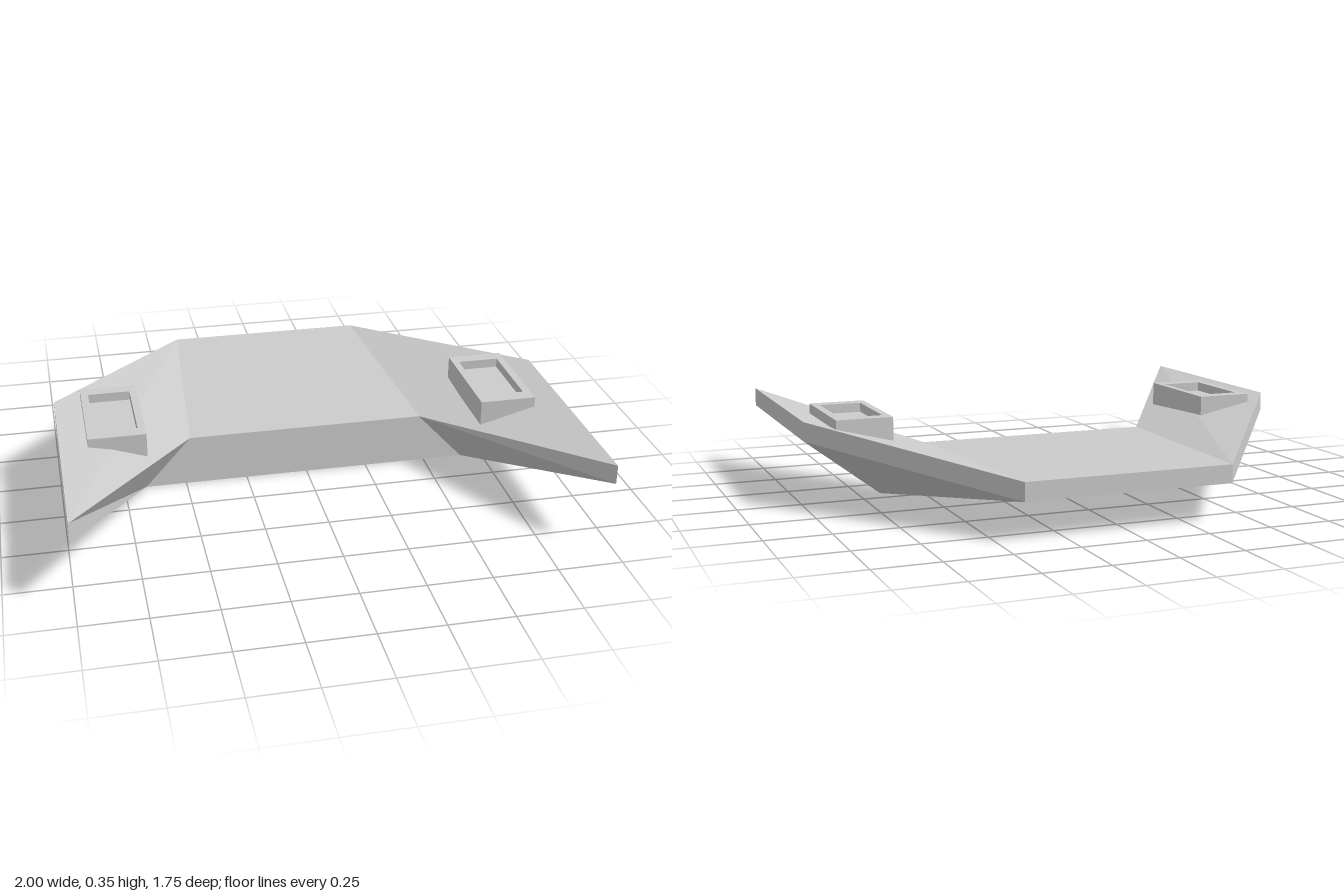
import * as THREE from 'three';

const material = new THREE.MeshStandardMaterial({ color: 0xcccccc, flatShading: true, side: THREE.DoubleSide });

// Corners of one half of the hull (mirrored in x for the other half)
const CORNERS = [
  [0.41, 0.217, -0.875], // 0 back top
  [0.477, 0.198, 0.07],  // 1 front notch top
  [1, 0.338, -0.08],     // 2 wing tip rear top
  [1, 0.338, 0.873],     // 3 wing tip front top
  [0.41, 0.146, -0.875], // 4 back bottom
  [0.662, 0, 0.08],      // 5 keel
  [1, 0.262, -0.08],     // 6 wing tip rear bottom
  [1, 0.262, 0.873],     // 7 wing tip front bottom
];
const corner = (side, i) => [CORNERS[i][0] * side, CORNERS[i][1], CORNERS[i][2]];

// Mesh from four-cornered faces, each split along its first and third corner
function facetedMesh(name, quads) {
  const positions = quads.flatMap(([a, b, c, d]) => [a, b, c, a, c, d].flat());
  const geometry = new THREE.BufferGeometry();
  geometry.setAttribute('position', new THREE.Float32BufferAttribute(positions, 3));
  geometry.computeVertexNormals();
  const mesh = new THREE.Mesh(geometry, material);
  mesh.name = name;
  return mesh;
}

// Swept wing: top, tip, rear edge, inner front face and underside
function wing(name, side) {
  const underside = side > 0 ? [6, 7, 5, 4] : [4, 6, 7, 5];
  const faces = [[1, 3, 2, 0], [2, 3, 7, 6], [0, 2, 6, 4], [1, 5, 7, 3], underside];
  return facetedMesh(name, faces.map((face) => {
    const quad = face.map((i) => corner(side, i));
    return side > 0 ? quad : quad.reverse();
  }));
}

// Middle section between the wings
function centerBody() {
  const l = (i) => corner(-1, i);
  const r = (i) => corner(1, i);
  return facetedMesh('centerBody', [
    [l(1), r(1), r(0), l(0)],
    [l(4), r(4), r(5), l(5)],
    [l(5), r(5), r(1), l(1)],
    [r(4), l(4), l(0), r(0)],
  ]);
}

function rectangle(Type, x0, x1, z0, z1) {
  return new Type([[x0, -z0], [x1, -z0], [x1, -z1], [x0, -z1]].map(([x, y]) => new THREE.Vector2(x, y)));
}

// Raised rectangular frame with a shallow recess, set into a wing
function pad(name, side) {
  const group = new THREE.Group();
  group.name = name;
  const bottom = 0.22, top = 0.349, floorTop = 0.312;
  const outline = rectangle(THREE.Shape, side * 0.668, side * 0.892, -0.153, 0.29);
  outline.holes.push(rectangle(THREE.Path, side * 0.696, side * 0.862, -0.098, 0.23));
  const frame = new THREE.Mesh(
    new THREE.ExtrudeGeometry(outline, { depth: top - bottom, bevelEnabled: false }).rotateX(-Math.PI / 2),
    material);
  frame.position.y = bottom;
  frame.name = 'padFrame';
  const floor = new THREE.Mesh(new THREE.BoxGeometry(0.166, floorTop - bottom, 0.328), material);
  floor.position.set(side * 0.779, (floorTop + bottom) / 2, 0.066);
  floor.name = 'padFloor';
  group.add(frame, floor);
  return group;
}

export function createModel() {
  const model = new THREE.Group();
  model.name = 'wingedHull';
  model.add(centerBody());
  for (const [label, side] of [['left', 1], ['right', -1]]) {
    model.add(wing(label + 'Wing', side), pad(label + 'Pad', side));
  }
  return model;
}
